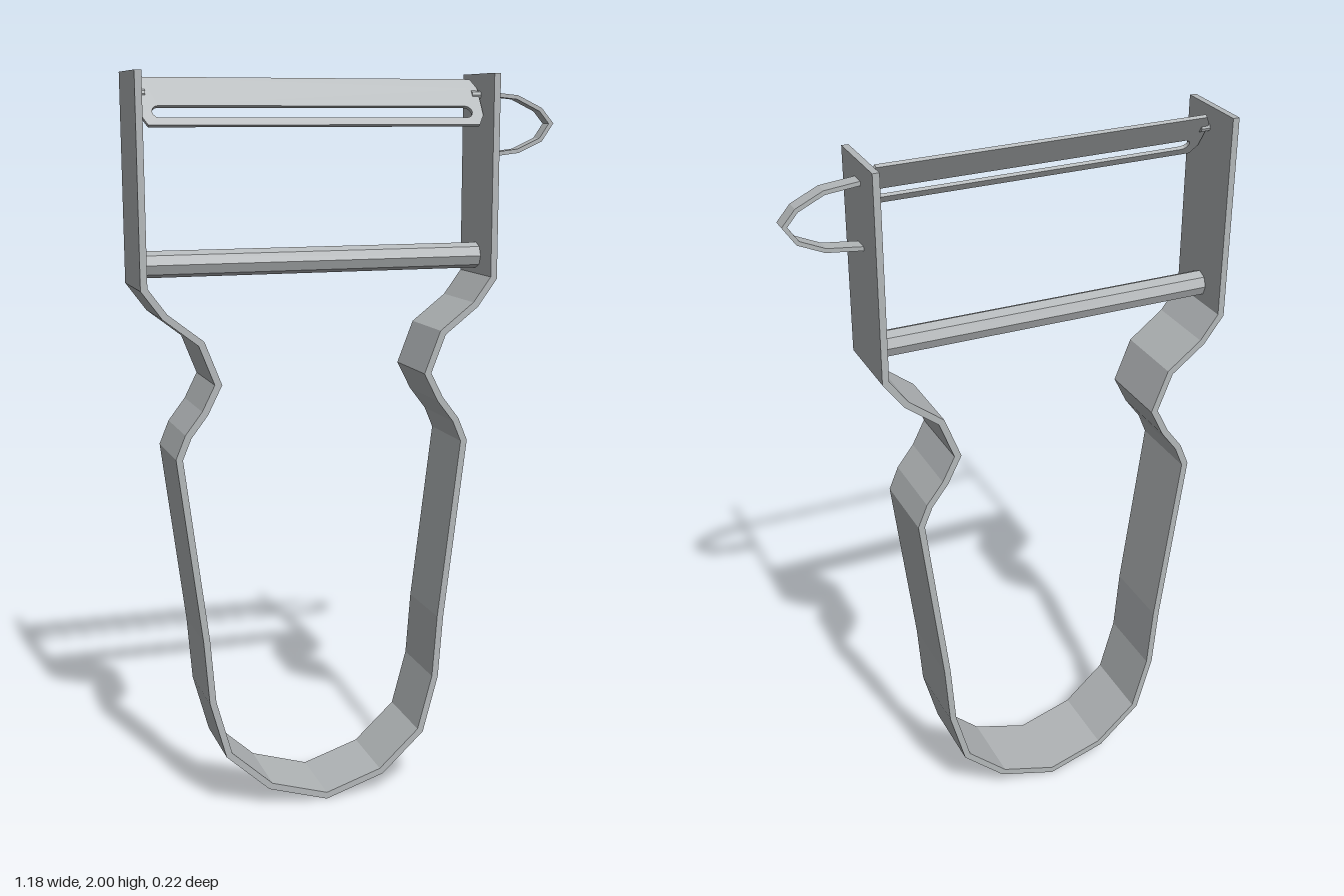
import * as THREE from 'three';

const steel = new THREE.MeshStandardMaterial({ color: 0xb3b7b9, flatShading: true });
steel.name = 'steel';

function addMesh(group, name, geometry) {
  const mesh = new THREE.Mesh(geometry, steel);
  mesh.name = name;
  group.add(mesh);
  return mesh;
}

// Extrude a shape, centred on z = 0
function slab(shape, depth) {
  return new THREE.ExtrudeGeometry(shape, { depth, bevelEnabled: false, curveSegments: 3 })
    .translate(0, 0, -depth / 2);
}

// Bent strip of even thickness along an open path, with mitred corners
function bentStrip(path, thickness, width) {
  const pts = path.map(([x, y]) => new THREE.Vector2(x, y));
  const normal = (a, b) => new THREE.Vector2(a.y - b.y, b.x - a.x).normalize();
  const offset = (side) => pts.map((p, i) => {
    const n0 = normal(pts[Math.max(i - 1, 0)], pts[Math.max(i, 1)]);
    const last = pts.length - 1;
    const n1 = normal(pts[Math.min(i, last - 1)], pts[Math.min(i + 1, last)]);
    const m = n0.clone().add(n1).normalize();
    return m.clone().multiplyScalar(side * thickness / 2 / m.dot(n0)).add(p);
  });
  return slab(new THREE.Shape([...offset(1), ...offset(-1).reverse()]), width);
}

export function createModel() {
  const model = new THREE.Group();
  model.name = 'peeler';
  const cx = -0.1; // symmetry line of the frame

  // Handle frame: half profile as [half width, height], mirrored
  const half = [
    [0.481, 2], [0.481, 1.457], [0.429, 1.386], [0.335, 1.313], [0.292, 1.203],
    [0.329, 1.13], [0.375, 1.07], [0.4, 1.01], [0.337, 0.505], [0.323, 0.328],
    [0.28, 0.17], [0.163, 0.062],
  ];
  const path = [
    ...half.map(([w, y]) => [cx - w, y]),
    [cx, 0.0195],
    ...half.slice().reverse().map(([w, y]) => [cx + w, y]),
  ];
  path[half.length][1] = 0.01;
  addMesh(model, 'handleFrame', bentStrip(path, 0.018, 0.216));

  // Octagonal bar between the two arms
  const bar = new THREE.CylinderGeometry(0.035, 0.035, 0.95, 8).rotateZ(Math.PI / 2);
  addMesh(model, 'crossbar', bar).position.set(cx, 1.511, 0);

  // Tilted blade with chamfered corners and a long slot
  const w = 0.466, h = 0.072, cw = 0.016, ch = 0.03;
  const outline = new THREE.Shape([
    [-w + cw, -h], [w - cw, -h], [w, -h + ch], [w, h - ch],
    [w - cw, h], [-w + cw, h], [-w, h - ch], [-w, -h + ch],
  ].map(([x, y]) => new THREE.Vector2(x, y)));
  const slot = new THREE.Path();
  const sx = 0.418, sy = -0.032, sr = 0.018;
  slot.absarc(sx, sy, sr, -Math.PI / 2, Math.PI / 2, false);
  slot.absarc(-sx, sy, sr, Math.PI / 2, Math.PI * 1.5, false);
  outline.holes.push(slot);
  const blade = addMesh(model, 'blade', slab(outline, 0.01));
  blade.position.set(cx, 1.923, 0.023);
  blade.rotation.x = -0.59;

  // Pivot pins joining the blade to the arms
  for (const side of [-1, 1]) {
    const pin = new THREE.CylinderGeometry(0.011, 0.011, 0.03, 8).rotateZ(Math.PI / 2);
    addMesh(model, side > 0 ? 'leftPivot' : 'rightPivot', pin)
      .position.set(cx + side * 0.462, 1.944, 0.008);
  }

  // Side loop for gouging
  const loop = [
    [0.382, 1.948], [0.48, 1.938], [0.55, 1.905], [0.582, 1.868],
    [0.552, 1.824], [0.485, 1.794], [0.382, 1.782],
  ];
  addMesh(model, 'sideLoop', bentStrip(loop, 0.011, 0.04));

  return model;
}
